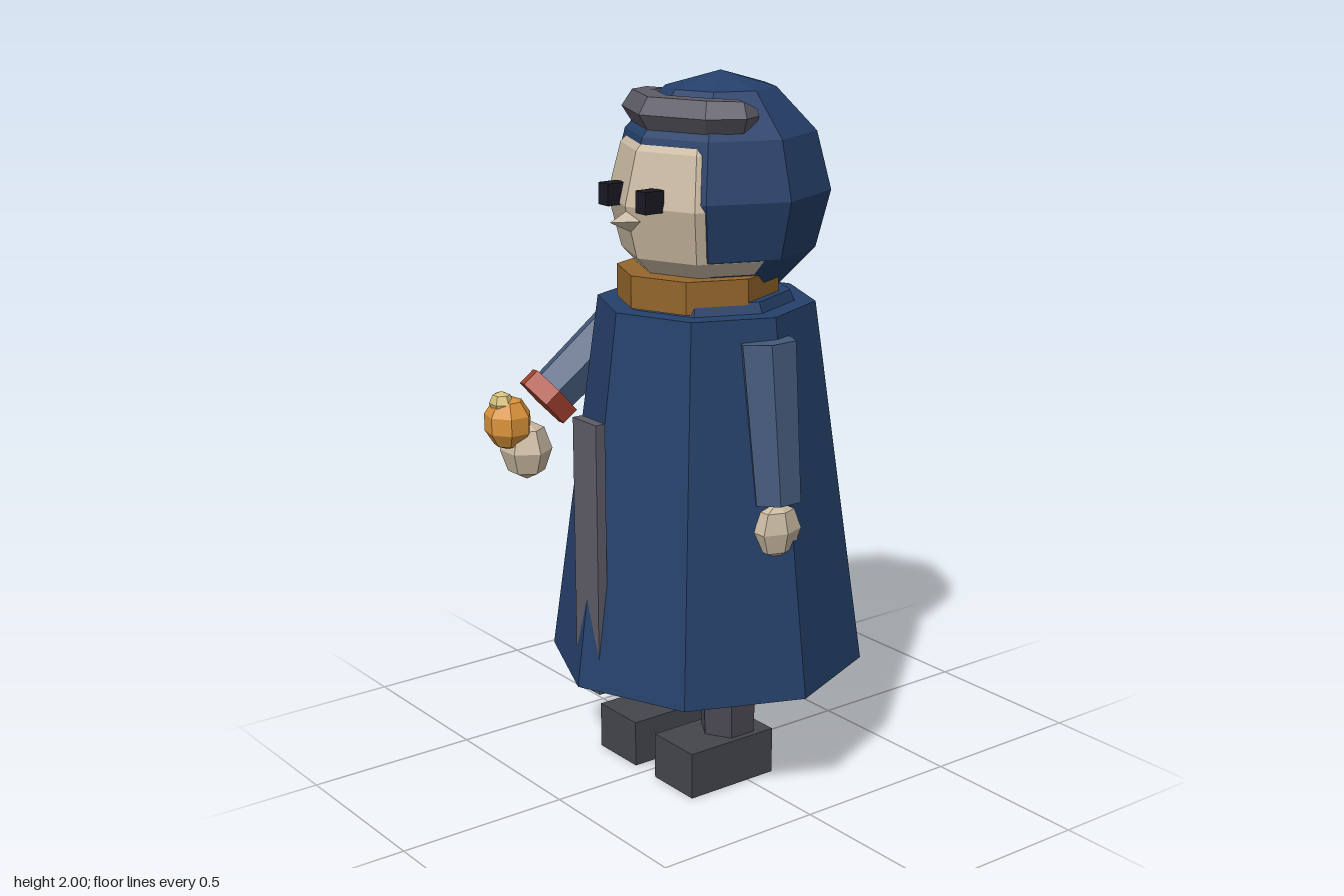
import * as THREE from 'three';

const mat = (color) => new THREE.MeshStandardMaterial({ color, flatShading: true });
const M = {
  robe: mat(0x25406a), sleeve: mat(0x455a7a), skin: mat(0xcbbba3), collar: mat(0x94662c),
  cuff: mat(0xa8432f), orange: mat(0xd9923a), knob: mat(0xd8c07a), brim: mat(0x5d5b66),
  leg: mat(0x4a4852), shoe: mat(0x44464c), eye: mat(0x1a1822),
};

export function createModel() {
  const model = new THREE.Group();

  const add = (name, geometry, material, x = 0, y = 0, z = 0) => {
    const mesh = new THREE.Mesh(geometry, material);
    mesh.name = name;
    mesh.position.set(x, y, z);
    model.add(mesh);
    return mesh;
  };
  const box = (w, h, d) => new THREE.BoxGeometry(w, h, d);
  const cyl = (rTop, rBottom, h, sides) => new THREE.CylinderGeometry(rTop, rBottom, h, sides);
  const ball = (rx, ry, rz, w, h) => new THREE.SphereGeometry(1, w, h).scale(rx, ry, rz);
  // tapered limb running from point a to point b
  const limb = (name, a, b, ra, rb, sides, material) => {
    const p = new THREE.Vector3(...a), q = new THREE.Vector3(...b);
    const dir = p.clone().sub(q);
    const mesh = add(name, cyl(ra, rb, dir.length(), sides), material);
    mesh.position.copy(p).add(q).multiplyScalar(0.5);
    mesh.quaternion.setFromUnitVectors(new THREE.Vector3(0, 1, 0), dir.normalize());
    return mesh;
  };

  // legs and shoes
  for (const [side, s] of [['left', 1], ['right', -1]]) {
    add(side + 'Leg', cyl(0.09, 0.08, 0.25, 6), M.leg, s * 0.135, 0.245, 0.005);
    add(side + 'Shoe', box(0.175, 0.135, 0.29), M.shoe, s * 0.135, 0.0675, 0.055);
  }

  // robe, shoulder step, collar and hanging sash
  add('robe', cyl(0.305, 0.45, 1.05, 8), M.robe, 0, 0.85, -0.02);
  add('shoulders', cyl(0.235, 0.255, 0.05, 8), M.robe, 0, 1.38, -0.02);
  add('collar', cyl(0.225, 0.225, 0.09, 8), M.collar, 0, 1.425, 0.01);
  add('sash', box(0.11, 0.78, 0.03), M.brim, 0, 0.7, 0.38);

  // hood with a small point at the back, and the face showing through it
  add('hood', ball(0.305, 0.32, 0.305, 8, 6), M.robe, 0, 1.68, -0.07);
  limb('hoodPoint', [0, 1.575, -0.38], [0, 1.66, -0.32], 0, 0.045, 4, M.robe);
  add('face', ball(0.28, 0.29, 0.28, 8, 6), M.skin, 0, 1.66, -0.028);
  for (const s of [1, -1]) {
    add(s > 0 ? 'leftEye' : 'rightEye', box(0.045, 0.06, 0.06), M.eye, s * 0.085, 1.683, 0.233);
  }
  const nose = new THREE.ConeGeometry(0.038, 0.08, 4).rotateX(Math.PI / 2);
  add('nose', nose, M.skin, 0, 1.622, 0.262);

  // brim: a cylinder bent along an arc, tapering to its ends
  const half = [[0.19, -0.035, 0.025], [0.19, 0.012, 0.055], [0.145, 0.085, 0.06]];
  const stations = [
    ...half.map(([x, z, r]) => [-x, z, r]), [0, 0.145, 0.06], ...half.slice().reverse(),
  ];
  const brim = new THREE.CylinderGeometry(1, 1, 1, 6, stations.length - 1).rotateY(Math.PI / 6);
  const pos = brim.attributes.position;
  for (let i = 0; i < pos.count; i++) {
    const [cx, cz, r] = stations[Math.round((pos.getY(i) + 0.5) * (stations.length - 1))];
    const out = new THREE.Vector2(cx, cz + 0.06).normalize();
    const u = pos.getX(i) * r, v = pos.getZ(i) * r * 0.87;
    pos.setXYZ(i, cx + out.x * u, v, cz + out.y * u);
  }
  brim.computeVertexNormals();
  add('brim', brim, M.brim, 0, 1.9, 0);

  // left arm hanging at the side
  limb('leftSleeve', [0.302, 1.315, 0.007], [0.347, 0.875, 0.005], 0.083, 0.07, 6, M.sleeve);
  add('leftHand', ball(0.045, 0.08, 0.075, 6, 4), M.skin, 0.363, 0.8, 0.015);

  // right arm reaching forward
  limb('rightSleeve', [-0.295, 1.31, -0.01], [-0.368, 1.05, 0.28], 0.083, 0.072, 6, M.sleeve);
  limb('rightCuff', [-0.36, 1.078, 0.25], [-0.37, 1.042, 0.29], 0.092, 0.092, 6, M.cuff);
  add('rightHand', ball(0.077, 0.09, 0.075, 6, 4), M.skin, -0.372, 0.915, 0.345);

  // round object held in the right hand
  add('heldBall', ball(0.075, 0.08, 0.07, 7, 5), M.orange, -0.385, 1.0, 0.395);
  add('heldKnob', ball(0.038, 0.035, 0.035, 6, 4), M.knob, -0.385, 1.06, 0.415);

  return model;
}
